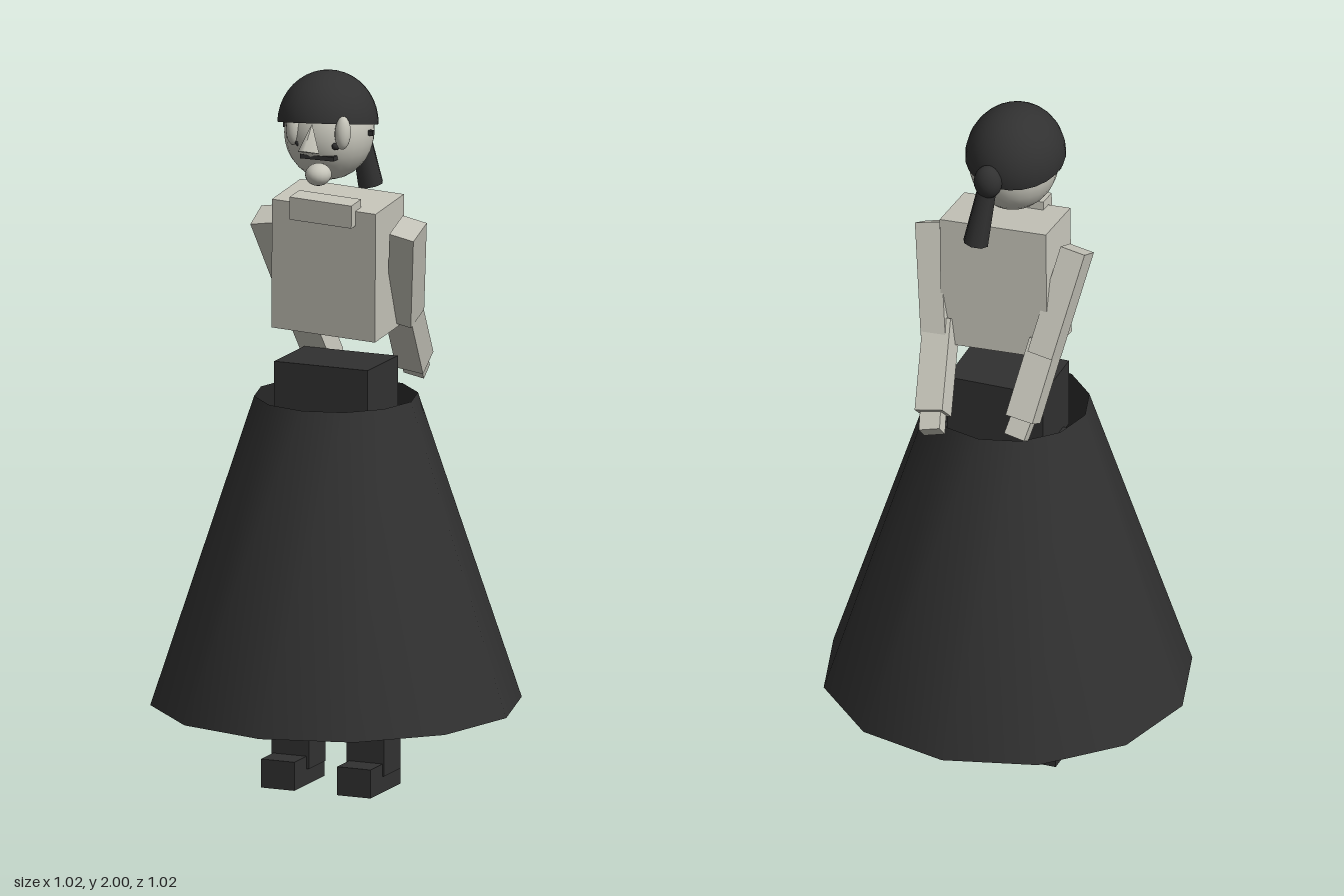
import * as THREE from 'three';

const light = new THREE.MeshStandardMaterial({ color: 0xc6c5ba });
light.name = 'warm light grey';
const dark = new THREE.MeshStandardMaterial({ color: 0x313131, side: THREE.DoubleSide });
dark.name = 'charcoal';

function add(parent, name, geometry, material, [x, y, z], rotation = [0, 0, 0], scale = [1, 1, 1]) {
  const mesh = new THREE.Mesh(geometry, material);
  mesh.name = name;
  mesh.position.set(x, y, z);
  mesh.rotation.set(...rotation);
  mesh.scale.set(...scale);
  parent.add(mesh);
  return mesh;
}

const box = (w, h, d) => new THREE.BoxGeometry(w, h, d);
const ball = (sides = 16) => new THREE.SphereGeometry(1, sides, 12);

// Box whose length runs from one point to another
function limb(parent, name, from, to, width, depth) {
  const a = new THREE.Vector3(...from), b = new THREE.Vector3(...to);
  const dir = b.clone().sub(a);
  const mid = a.clone().add(b).multiplyScalar(0.5);
  const mesh = add(parent, name, box(width, dir.length(), depth), light, mid.toArray());
  mesh.quaternion.setFromUnitVectors(new THREE.Vector3(0, 1, 0), a.sub(b).normalize());
}

function createLowerBody() {
  const g = new THREE.Group();
  g.name = 'lowerBody';
  // Open cone skirt
  add(g, 'skirt', new THREE.CylinderGeometry(0.225, 0.51, 0.86, 12, 1, true), dark, [0, 0.66, 0]);
  add(g, 'hips', box(0.28, 0.2, 0.2), dark, [0, 1.09, 0]);
  for (const s of [-1, 1]) {
    add(g, 'leg', box(0.112, 0.96, 0.11), dark, [s * 0.112, 0.525, 0]);
    add(g, 'foot', box(0.1, 0.08, 0.2), dark, [s * 0.114, 0.04, 0.035]);
  }
  return g;
}

function createUpperBody() {
  const g = new THREE.Group();
  g.name = 'upperBody';
  add(g, 'torso', box(0.31, 0.37, 0.19), light, [0.015, 1.47, 0.022], [0.09, 0, -0.045]);
  add(g, 'collar', box(0.185, 0.065, 0.065), light, [0.025, 1.637, 0.127], [0.09, 0, -0.045]);

  // Shoulder, elbow, wrist and fingertip of both arms, swung behind the back
  const arms = [
    ['left', [0.235, 1.585, 0.042], [0.17, 1.31, -0.085], [0.13, 1.15, -0.235], [0.118, 1.115, -0.275]],
    ['right', [-0.188, 1.585, 0.038], [-0.138, 1.31, -0.085], [-0.108, 1.145, -0.17], [-0.098, 1.1, -0.195]],
  ];
  for (const [side, shoulder, elbow, wrist, tip] of arms) {
    const arm = new THREE.Group();
    arm.name = side + 'Arm';
    limb(arm, 'upperArm', shoulder, elbow, 0.072, 0.088);
    limb(arm, 'forearm', [elbow[0], elbow[1] + 0.03, elbow[2] + 0.02], wrist, 0.08, 0.078);
    limb(arm, 'hand', wrist, tip, 0.06, 0.045);
    g.add(arm);
  }
  return g;
}

function createHead() {
  const g = new THREE.Group();
  g.name = 'head';
  add(g, 'skull', new THREE.SphereGeometry(1, 24, 16), light, [-0.008, 1.833, 0.026], [0, 0, 0], [0.122, 0.133, 0.133]);

  // Cap of hair, tilted back, with a closed underside
  const hair = new THREE.Group();
  hair.name = 'hair';
  hair.position.set(-0.012, 1.855, 0.027);
  hair.rotation.set(-0.2, 0, 0.06);
  hair.scale.set(0.137, 0.146, 0.148);
  add(hair, 'hairCap', new THREE.SphereGeometry(1, 24, 10, 0, Math.PI * 2, 0, Math.PI / 2), dark, [0, 0, 0]);
  add(hair, 'hairUnderside', new THREE.CircleGeometry(1, 24), dark, [0, 0, 0], [Math.PI / 2, 0, 0]);
  g.add(hair);

  // Bun and ponytail
  add(g, 'bun', ball(), dark, [0.012, 1.845, -0.122], [0, 0, 0], [0.04, 0.048, 0.035]);
  add(g, 'ponytail', new THREE.CylinderGeometry(0.027, 0.036, 0.17, 8), dark, [0.03, 1.737, -0.125], [0.13, 0, 0.15]);

  // Face
  for (const s of [-1, 1]) {
    add(g, 'eye', ball(), light, [0.008 + s * 0.073, 1.858, 0.135], [-0.1, 0, 0], [0.022, 0.046, 0.023]);
    add(g, 'pupil', ball(8), dark, [0.008 + s * 0.055, 1.82, 0.142], [0, 0, 0], [0.012, 0.01, 0.01]);
    add(g, 'earBead', box(0.014, 0.014, 0.014), dark, [-0.008 + s * 0.127, 1.84, 0.03]);
  }
  add(g, 'nose', new THREE.ConeGeometry(0.032, 0.08, 4), light, [0.003, 1.845, 0.178], [-0.3, 0, 0]);
  add(g, 'mouth', box(0.1, 0.012, 0.03), dark, [0.01, 1.785, 0.135]);
  add(g, 'chin', ball(), light, [0.02, 1.742, 0.162], [0, 0, 0], [0.036, 0.031, 0.039]);
  return g;
}

export function createModel() {
  const model = new THREE.Group();
  model.name = 'skirtedFigure';
  model.add(createLowerBody(), createUpperBody(), createHead());
  return model;
}
